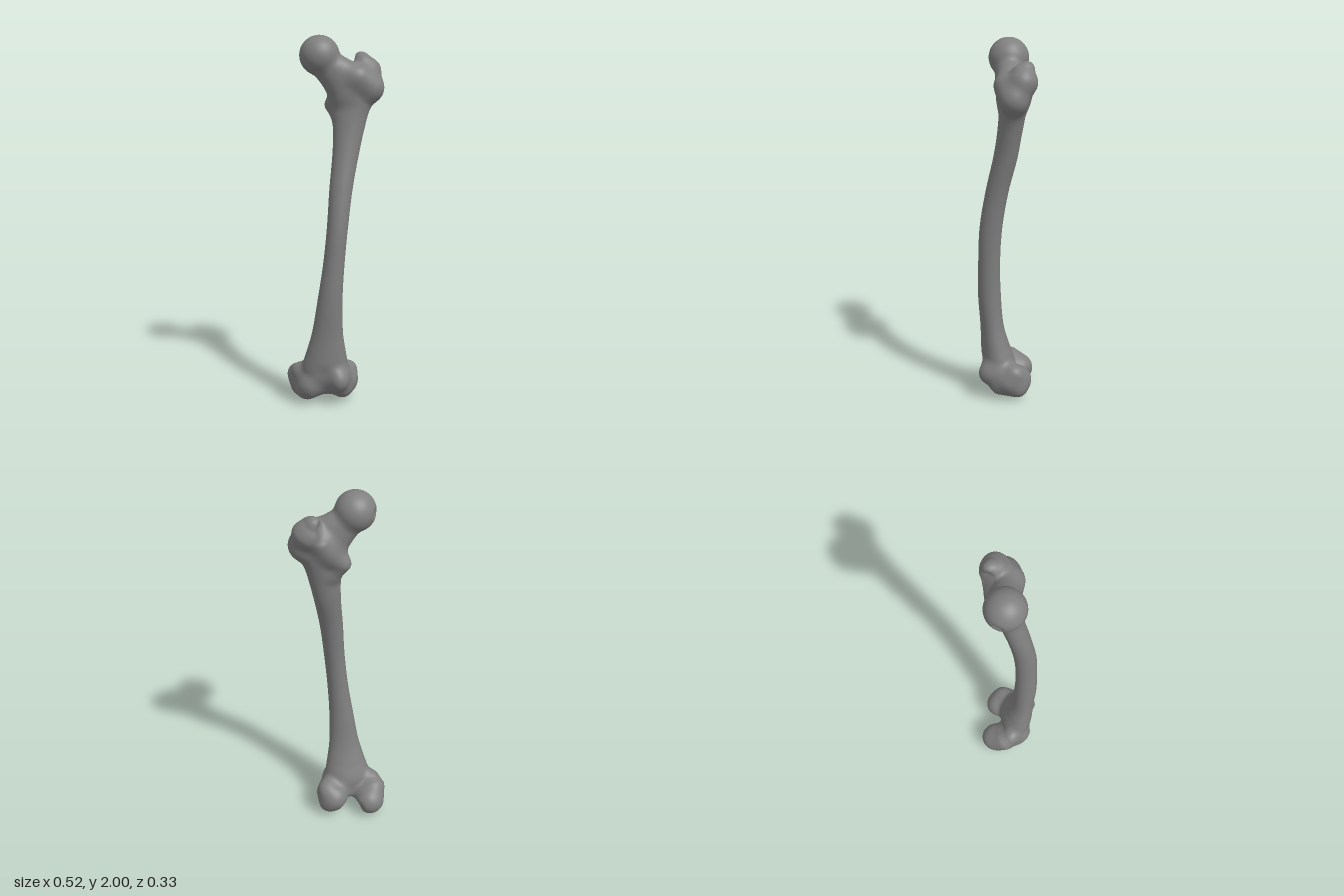
import * as THREE from 'three';
import { mergeVertices } from 'three/addons/utils/BufferGeometryUtils.js';

// Shaft outline: height, then x range and z range of the oval section
const SECTIONS = [
  [0.08, -0.17, 0.07, -0.03, 0.115], [0.2, -0.178, 0.078, -0.045, 0.136], [0.3, -0.152, 0.062, -0.014, 0.141],
  [0.4, -0.125, 0.047, 0.014, 0.144], [0.6, -0.092, 0.042, 0.033, 0.158], [0.8, -0.062, 0.052, 0.039, 0.158],
  [1.0, -0.041, 0.071, 0.029, 0.151], [1.2, -0.026, 0.097, -0.001, 0.121], [1.4, -0.006, 0.137, -0.046, 0.081],
  [1.5, -0.003, 0.16, -0.061, 0.066], [1.6, -0.007, 0.188, -0.077, 0.057], [1.68, -0.01, 0.225, -0.087, 0.054],
  [1.78, 0.01, 0.235, -0.087, 0.052],
];
const outline = new THREE.CubicInterpolant(SECTIONS.map((s) => s[0]), SECTIONS.flatMap((s) => s.slice(1)), 4);
const HEAD = [-0.073, 1.894, -0.018];
const HEAD_RADIUS = 0.105;

// Rounded masses: blend width, start, start radius, end, end radius
const MASSES = [
  // neck and the buttress under it
  [0.05, [-0.06, 1.875, -0.018], 0.068, [0.1, 1.78, -0.004], 0.072],
  [0.05, [-0.03, 1.81, -0.015], 0.063, [0.06, 1.7, -0.015], 0.07],
  // greater trochanter: body, tip, top ridge and front bump
  [0.05, [0.19, 1.725, -0.018], 0.059, [0.18, 1.81, -0.055], 0.062],
  [0.04, [0.187, 1.815, -0.055], 0.056, [0.157, 1.868, -0.075], 0.034],
  [0.03, [0.145, 1.878, -0.088], 0.024, [0.158, 1.858, -0.04], 0.03],
  [0.06, [0.13, 1.785, 0.024], 0.046, [0.2, 1.725, 0.008], 0.043],
  // crest running down to the lesser trochanter
  [0.06, [0.155, 1.8, -0.08], 0.036, [0.04, 1.67, -0.062], 0.034],
  [0.05, [-0.006, 1.627, -0.066], 0.035, [0.04, 1.56, -0.038], 0.025],
  // inner condyle and epicondyle
  [0.03, [-0.158, 0.088, -0.085], 0.08, [-0.13, 0.11, 0.053], 0.071],
  [0.04, [-0.17, 0.062, -0.05], 0.056, [-0.15, 0.075, 0.03], 0.056],
  [0.05, [-0.195, 0.145, -0.03], 0.058, [-0.188, 0.17, 0], 0.045],
  // outer condyle and epicondyle
  [0.04, [0.045, 0.112, -0.05], 0.078, [0.014, 0.148, 0.095], 0.068],
  [0.04, [0.078, 0.07, -0.045], 0.047, [0.045, 0.08, 0.045], 0.052],
  [0.05, [0.086, 0.165, -0.03], 0.042, [0.084, 0.12, 0], 0.042],
  // bridge between the condyles
  [0.05, [-0.055, 0.115, 0.035], 0.06, [-0.05, 0.165, 0.05], 0.07],
];
// Hollows cut from the masses, same layout
const HOLLOWS = [
  // notch between the condyles
  [0.035, [-0.048, 0.07, -0.17], 0.048, [-0.055, 0.005, 0.0], 0.042],
  // groove for the kneecap
  [0.06, [-0.06, 0.01, 0.15], 0.04, [-0.065, 0.17, 0.185], 0.04],
  // pit behind the greater trochanter
  [0.03, [0.1, 1.855, -0.1], 0.026, [0.11, 1.8, -0.125], 0.018],
  // pit in the head
  [0.015, [-0.174, 1.89, -0.074], 0.024, [-0.18, 1.89, -0.055], 0.02],
];

function smoothMin(a, b, k) {
  const h = Math.max(k - Math.abs(a - b), 0) / k;
  return Math.min(a, b) - h * h * k * 0.25;
}

// Distance to a rounded cone between two points
function capsule(x, y, z, [, a, ra, b, rb]) {
  const bx = b[0] - a[0], by = b[1] - a[1], bz = b[2] - a[2];
  const px = x - a[0], py = y - a[1], pz = z - a[2];
  const t = Math.min(1, Math.max(0, (px * bx + py * by + pz * bz) / (bx * bx + by * by + bz * bz)));
  return Math.hypot(px - bx * t, py - by * t, pz - bz * t) - (ra + (rb - ra) * t);
}

// Oval shaft with rounded-off ends
function shaftDistance(x, y, z) {
  const [x0, x1, z0, z1] = outline.evaluate(Math.min(1.78, Math.max(0.08, y)));
  const rx = (x1 - x0) / 2, rz = (z1 - z0) / 2;
  const d = (Math.hypot((x - x0 - rx) / rx, (z - z0 - rz) / rz) - 1) * Math.min(rx, rz);
  return -smoothMin(-d, Math.min(1.79 - y, y - 0.08), 0.07);
}

const headDistance = (x, y, z) => Math.hypot(x - HEAD[0], y - HEAD[1], z - HEAD[2]) - HEAD_RADIUS;

// Blended body: negative inside the bone
function field(x, y, z) {
  let d = shaftDistance(x, y, z);
  for (const m of MASSES) d = smoothMin(d, capsule(x, y, z, m), m[0]);
  d = smoothMin(d, headDistance(x, y, z), 0.018);
  for (const h of HOLLOWS) d = -smoothMin(-d, capsule(x, y, z, h), h[0]);
  return d;
}

function gradient([x, y, z]) {
  const e = 0.002;
  return [
    (field(x + e, y, z) - field(x - e, y, z)) / (2 * e),
    (field(x, y + e, z) - field(x, y - e, z)) / (2 * e),
    (field(x, y, z + e) - field(x, y, z - e)) / (2 * e),
  ];
}

function partAt([x, y, z]) {
  if (y > 1.75 && headDistance(x, y, z) < 0.004) return 'head';
  if (y > 1.52) return 'neckAndTrochanters';
  return y > 0.3 ? 'shaft' : 'condyles';
}

// Skin the field on a grid: one vertex per crossed cell, one quad per crossed edge
function skin(min, max, step) {
  const n = min.map((v, i) => Math.ceil((max[i] - v) / step) + 1);
  const stride = [1, n[0], n[0] * n[1]];
  const at = (i, j, k) => i + j * stride[1] + k * stride[2];
  const values = new Float32Array(n[0] * n[1] * n[2]);
  for (let k = 0; k < n[2]; k++) for (let j = 0; j < n[1]; j++) for (let i = 0; i < n[0]; i++)
    values[at(i, j, k)] = field(min[0] + i * step, min[1] + j * step, min[2] + k * step);

  const vertexOf = new Map(), positions = [], normals = [], faces = {};
  function vertex(cell) {
    if (vertexOf.has(cell)) return vertexOf.get(cell);
    const base = [cell % n[0], Math.floor(cell / stride[1]) % n[1], Math.floor(cell / stride[2])];
    const sum = [0, 0, 0];
    let count = 0;
    for (let c = 0; c < 8; c++) for (let a = 0; a < 3; a++) {
      if (c & (1 << a)) continue;
      const corner = [c & 1, (c >> 1) & 1, (c >> 2) & 1];
      const from = cell + at(...corner), v0 = values[from], v1 = values[from + stride[a]];
      if ((v0 < 0) === (v1 < 0)) continue;
      corner[a] += v0 / (v0 - v1);
      corner.forEach((v, i) => { sum[i] += v; });
      count++;
    }
    let p = sum.map((s, i) => min[i] + (base[i] + s / count) * step);
    // Pull the vertex onto the true surface
    const g = gradient(p), d = field(...p), len2 = Math.max(0.2, g[0] ** 2 + g[1] ** 2 + g[2] ** 2);
    const move = Math.max(-step / 2, Math.min(step / 2, d / len2));
    p = p.map((v, i) => v - g[i] * move);
    const normal = new THREE.Vector3(...gradient(p)).normalize();
    const id = positions.length / 3;
    positions.push(...p);
    normals.push(normal.x, normal.y, normal.z);
    vertexOf.set(cell, id);
    return id;
  }

  for (let k = 1; k < n[2] - 1; k++) for (let j = 1; j < n[1] - 1; j++) for (let i = 1; i < n[0] - 1; i++) {
    const here = at(i, j, k), inside = values[here] < 0;
    for (let a = 0; a < 3; a++) {
      if (inside === (values[here + stride[a]] < 0)) continue;
      const b = stride[(a + 1) % 3], c = stride[(a + 2) % 3];
      const q = [here - b - c, here - c, here, here - b].map(vertex);
      if (!inside) q.reverse();
      const part = partAt(positions.slice(q[0] * 3, q[0] * 3 + 3));
      (faces[part] ??= []).push(q[0], q[1], q[2], q[0], q[2], q[3]);
    }
  }
  return { positions, normals, faces };
}

export function createModel() {
  const bone = new THREE.Group();
  bone.name = 'thighBone';
  const material = new THREE.MeshStandardMaterial({ color: 0x808080 });
  const { positions, normals, faces } = skin([-0.3, -0.04, -0.22], [0.3, 2.04, 0.22], 0.01);
  for (const [name, index] of Object.entries(faces)) {
    const shared = new THREE.BufferGeometry();
    shared.setAttribute('position', new THREE.Float32BufferAttribute(positions, 3));
    shared.setAttribute('normal', new THREE.Float32BufferAttribute(normals, 3));
    shared.setIndex(index);
    const mesh = new THREE.Mesh(mergeVertices(shared.toNonIndexed(), 1e-6), material);
    mesh.name = name;
    bone.add(mesh);
  }
  return bone;
}
